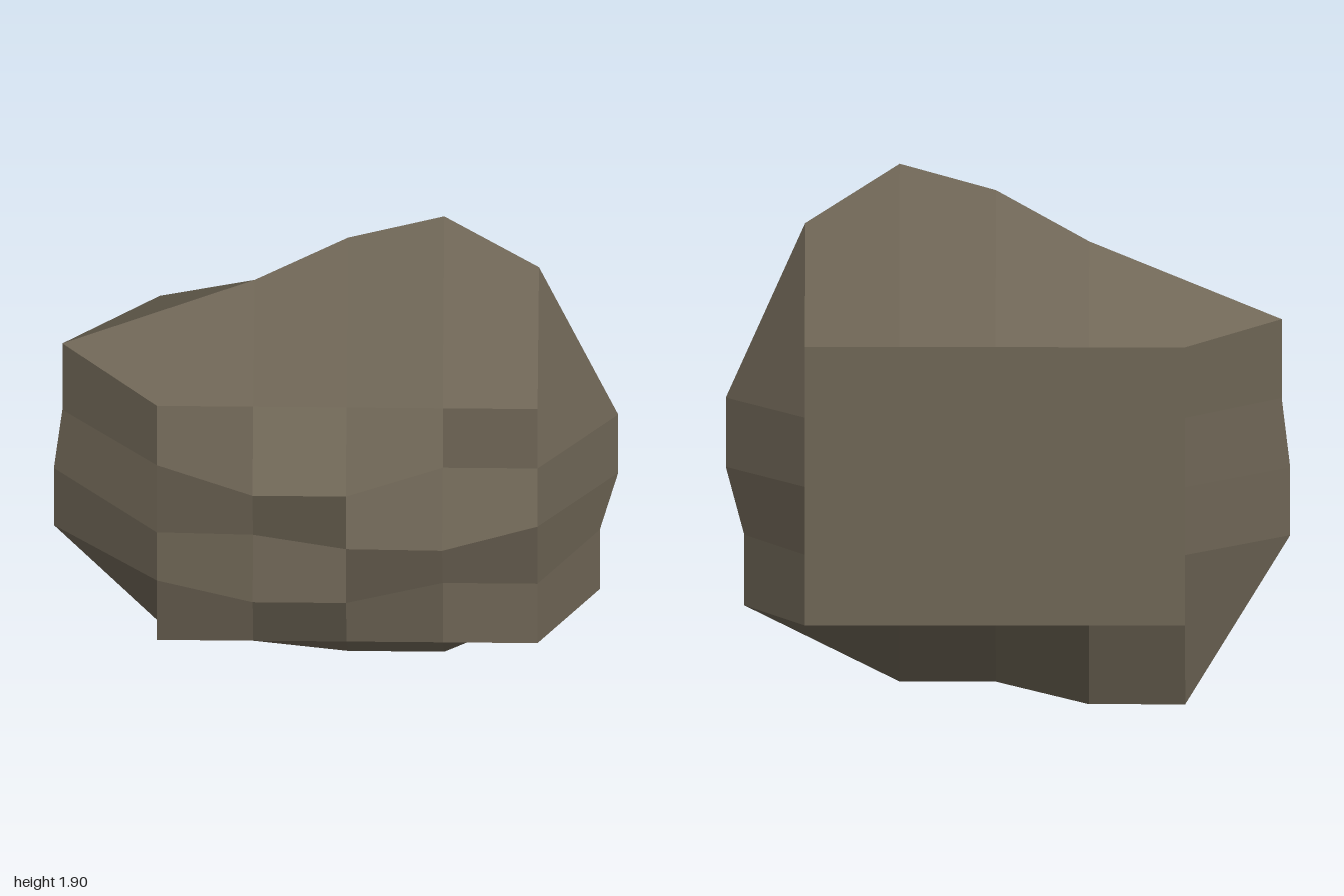
import * as THREE from 'three';

const XS = [-0.63, -0.29, 0.04, 0.38, 0.715];
const YS = [0.31, 0.565, 0.81, 1.06, 1.315];
const BACK = -0.435, MID = -0.09;

// Depth of the chipped front face, rows from bottom to top
const FRONT = [
  [0.25, 0.25, 0.25, 0.25, 0.25],
  [0.25, 0.38, 0.38, 0.25, 0.25],
  [0.305, 0.315, 0.4, 0.405, 0.25],
  [0.25, 0.435, 0.435, 0.25, 0.25],
  [0.25, 0.25, 0.25, 0.25, 0.25],
];

// Jagged outline around the middle, counterclockwise from the lower -x corner
const RIM = [
  [-0.63, 0, -0.31], [-0.29, 0, -0.31], [0.04, 0.035], [0.38, 0.035],
  [0.93, 0.31], [0.93, 0.565], [0.995, 0.81], [0.995, 1.06],
  [0.715, 1.69], [0.38, 1.905], [0.04, 1.81], [-0.29, 1.625],
  [-0.97, 1.345], [-0.97, 1.06], [-1, 0.81], [-1, 0.565],
].map(([x, y, z = MID]) => new THREE.Vector3(x, y, z));

// Builds four-sided facets, each with one flat normal
function facetGeometry(quads) {
  const position = [], normal = [];
  for (const [a, b, c, d] of quads) {
    const n = c.clone().sub(a).cross(d.clone().sub(b)).normalize();
    for (const p of [a, b, c, a, c, d]) {
      position.push(p.x, p.y, p.z);
      normal.push(n.x, n.y, n.z);
    }
  }
  const g = new THREE.BufferGeometry();
  g.setAttribute('position', new THREE.Float32BufferAttribute(position, 3));
  g.setAttribute('normal', new THREE.Float32BufferAttribute(normal, 3));
  return g;
}

export function createModel() {
  const group = new THREE.Group();
  group.name = 'rock';
  const stone = new THREE.MeshStandardMaterial({ color: 0x6f6656 });
  stone.name = 'stone';

  const front = (i, j) => new THREE.Vector3(XS[i], YS[j], FRONT[j][i]);
  const back = (i, j) => new THREE.Vector3(XS[i], YS[j], BACK);

  // Grid cells around the border, in the same order as the rim
  const border = [];
  for (let k = 0; k < 4; k++) border.push([k, 0]);
  for (let k = 0; k < 4; k++) border.push([4, k]);
  for (let k = 4; k > 0; k--) border.push([k, 4]);
  for (let k = 4; k > 0; k--) border.push([0, k]);

  const frontQuads = [], sideQuads = [];
  for (let j = 0; j < 4; j++) {
    for (let i = 0; i < 4; i++) {
      frontQuads.push([front(i, j), front(i + 1, j), front(i + 1, j + 1), front(i, j + 1)]);
    }
  }
  for (let k = 0; k < 16; k++) {
    const n = (k + 1) % 16;
    sideQuads.push([front(...border[k]), RIM[k], RIM[n], front(...border[n])]);
    sideQuads.push([RIM[k], back(...border[k]), back(...border[n]), RIM[n]]);
  }
  const backQuads = [[back(4, 0), back(0, 0), back(0, 4), back(4, 4)]];

  const parts = { chippedFront: frontQuads, slopedSides: sideQuads, flatBack: backQuads };
  for (const [name, quads] of Object.entries(parts)) {
    const mesh = new THREE.Mesh(facetGeometry(quads), stone);
    mesh.name = name;
    group.add(mesh);
  }
  return group;
}
